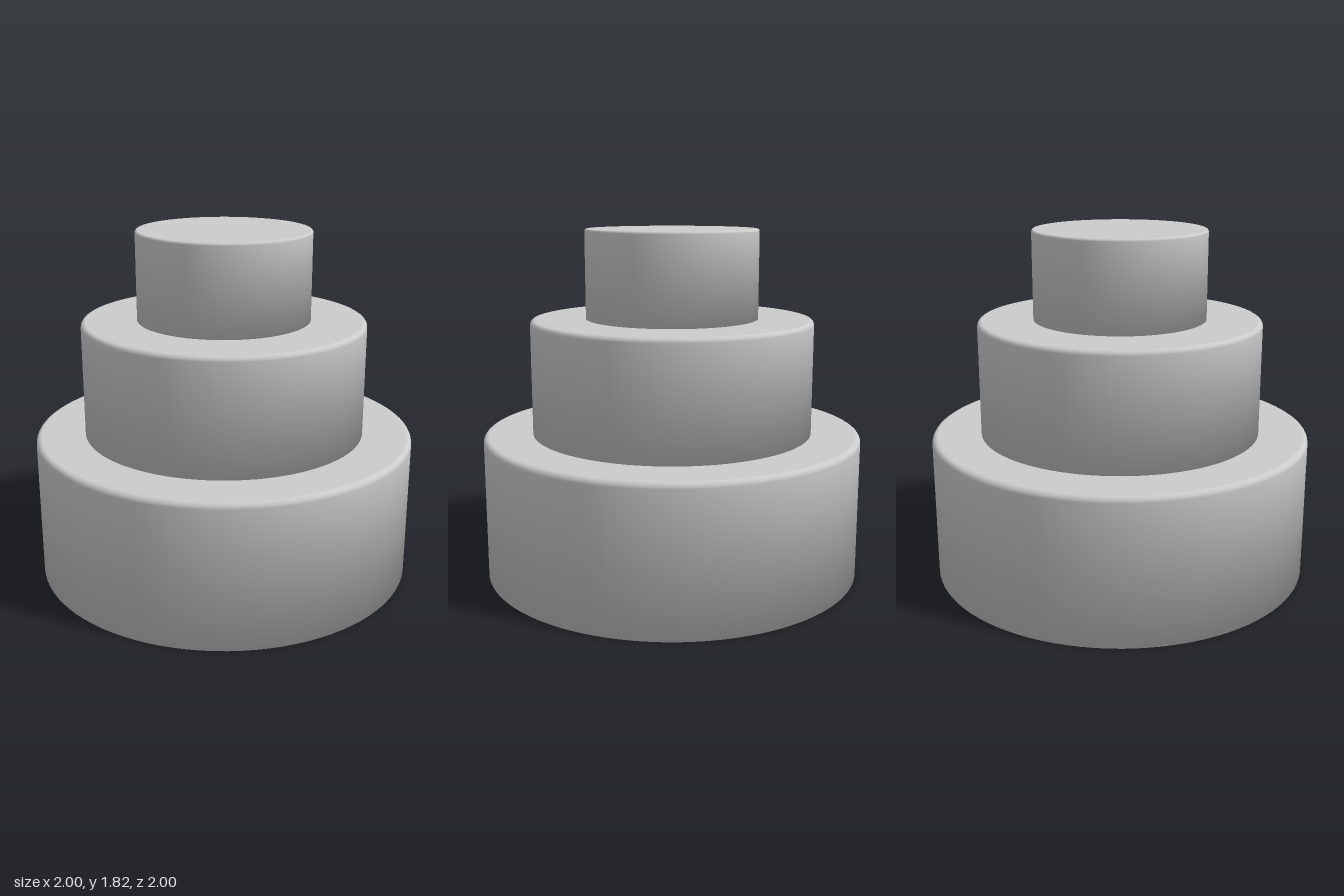
import * as THREE from 'three';

const material = new THREE.MeshStandardMaterial({ color: 0xcccccc });

// Closed round tier with a softly rounded top rim, standing on y = 0
function tier(name, radius, height, bevel) {
  const profile = [new THREE.Vector2(0, 0), new THREE.Vector2(radius, 0)];
  const steps = 4;
  for (let i = 0; i <= steps; i++) {
    const a = (i / steps) * Math.PI / 2;
    profile.push(new THREE.Vector2(
      radius - bevel + bevel * Math.cos(a),
      height - bevel + bevel * Math.sin(a)
    ));
  }
  profile.push(new THREE.Vector2(0, height));
  const mesh = new THREE.Mesh(new THREE.LatheGeometry(profile, 96), material);
  mesh.name = name;
  return mesh;
}

export function createModel() {
  const model = new THREE.Group();
  model.name = 'tieredCake';

  // Three tiers stacked from largest to smallest: name, radius, height, bevel
  const tiers = [
    ['bottomTier', 1.0, 0.755, 0.03],
    ['middleTier', 0.742, 0.602, 0.025],
    ['topTier', 0.452, 0.463, 0.013],
  ];
  let y = 0;
  for (const [name, radius, height, bevel] of tiers) {
    const mesh = tier(name, radius, height, bevel);
    mesh.position.y = y;
    model.add(mesh);
    y += height;
  }
  return model;
}
